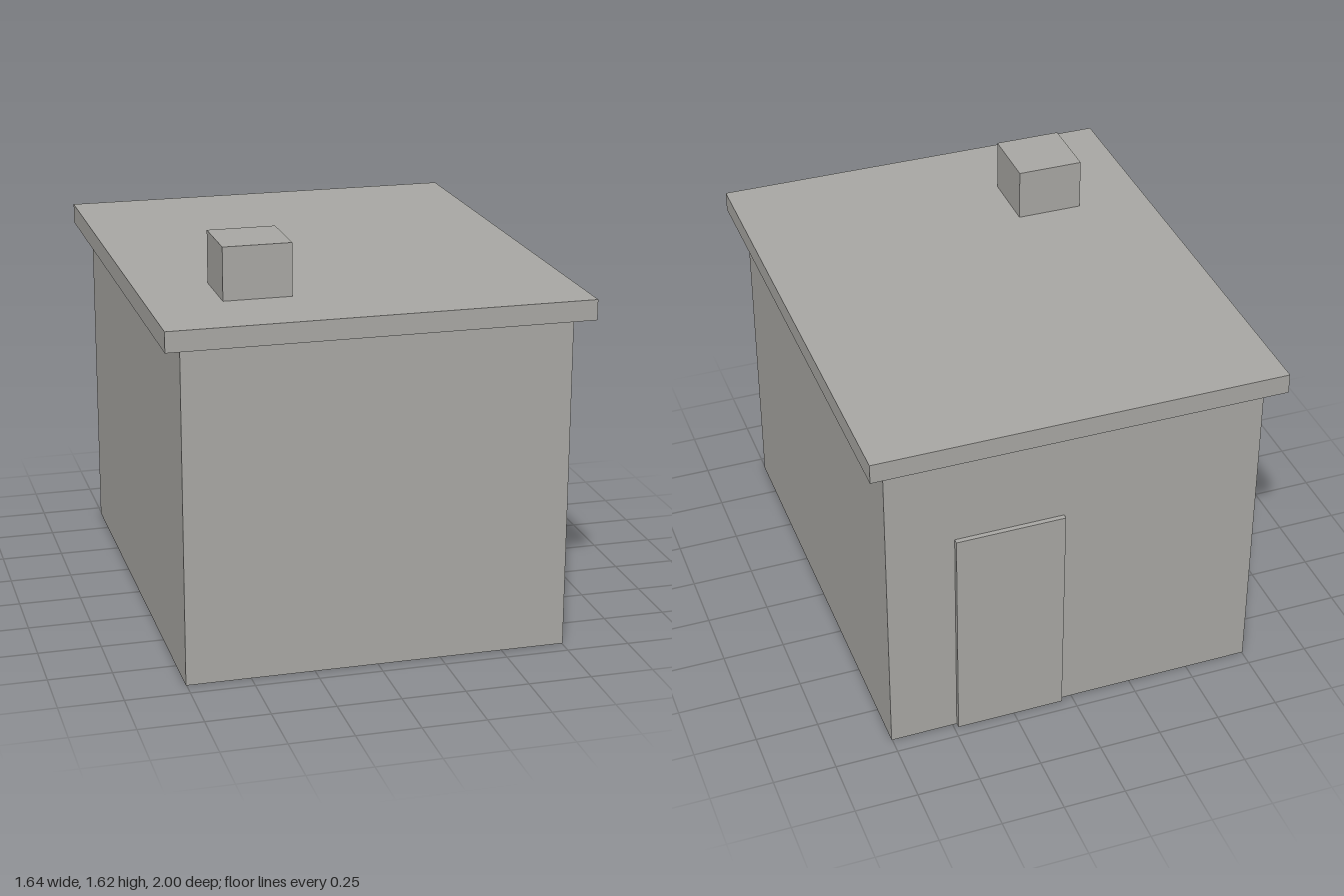
import * as THREE from 'three';

export function createModel() {
  const model = new THREE.Group();
  model.name = 'house';
  const grey = new THREE.MeshStandardMaterial({ color: 0xa9a8a4 });
  grey.name = 'plain grey';

  // Adds a box given its extents along each axis
  function block(name, [x0, x1], [y0, y1], [z0, z1]) {
    const mesh = new THREE.Mesh(new THREE.BoxGeometry(x1 - x0, y1 - y0, z1 - z0), grey);
    mesh.position.set((x0 + x1) / 2, (y0 + y1) / 2, (z0 + z1) / 2);
    mesh.name = name;
    model.add(mesh);
  }

  block('walls', [-0.753, 0.753], [0, 1.333], [-0.933, 0.933]);
  // Flat roof slab overhanging on all sides
  block('roof', [-0.82, 0.82], [1.333, 1.413], [-1, 1]);
  block('chimney', [-0.533, -0.267], [1.413, 1.62], [0.4, 0.667]);
  // Door panel standing slightly proud of the back wall
  block('door', [0.047, 0.483], [0, 0.933], [-0.953, -0.933]);

  return model;
}
